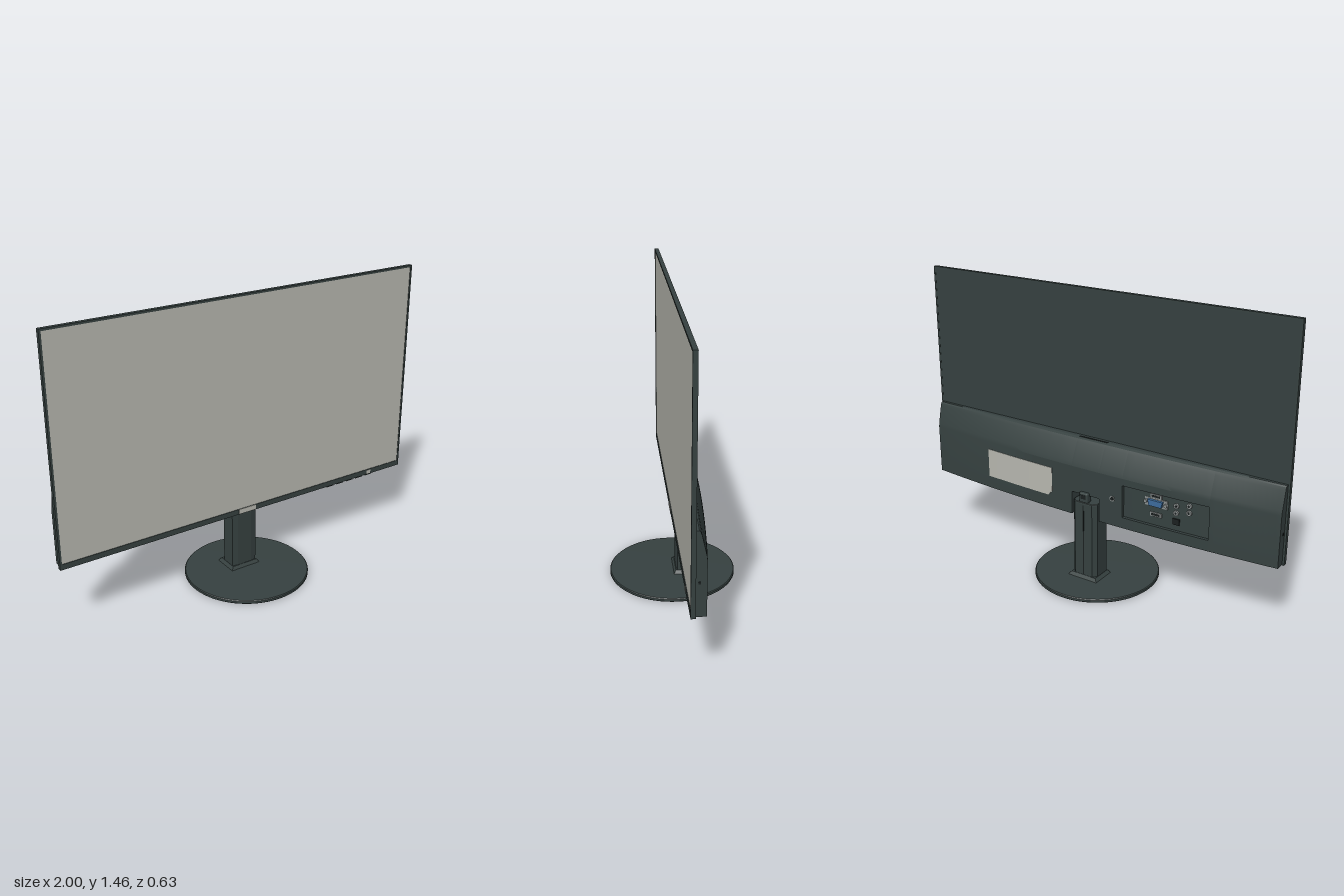
import * as THREE from 'three';
import { toCreasedNormals } from 'three/addons/utils/BufferGeometryUtils.js';
import { RoundedBoxGeometry } from 'three/addons/geometries/RoundedBoxGeometry.js';

const mat = (color) => new THREE.MeshStandardMaterial({ color });
const dark = mat(0x364140), black = mat(0x1b2020), pale = mat(0xb8b8b0), blue = mat(0x3d6c9c), metal = mat(0x8a8f8f);

// Rear bulge: depth behind the panel across x, tapered toward the top edge.
const bulge = (x) => 0.105 - 0.05 * x * x;
const TAPER = [[0.345, 1], [0.6, 1], [0.62, 0.94], [0.71, 0.5], [0.724, 0.4], [0.73, 0.26]];
function taper(y) {
  for (let i = 1; i < TAPER.length; i++) {
    const [ya, fa] = TAPER[i - 1], [yb, fb] = TAPER[i];
    if (y <= yb) return fa + (fb - fa) * (y - ya) / (yb - ya);
  }
  return TAPER[TAPER.length - 1][1];
}

// Closed block following the bulge between x0..x1 and low(x)..y1; inset lowers its back.
function bulgeBlock(x0, x1, low, y1, inset = 0, steps = 12) {
  const yLow = typeof low === 'number' ? () => low : low;
  const rings = [], pos = [];
  for (let i = 0; i <= steps; i++) {
    const x = x0 + (x1 - x0) * i / steps, y0 = yLow(x);
    const ys = [y0, ...TAPER.map((t) => t[0]).filter((y) => y > y0 + 1e-4 && y < y1 - 1e-4), y1];
    const back = ys.map((y) => [x, y, -(0.01 + taper(y) * (bulge(x) - inset - 0.01))]);
    rings.push([[x, y0, -0.008], ...back, [x, y1, -0.008]]);
  }
  const tri = (...p) => p.forEach((v) => pos.push(...v));
  const n = rings[0].length;
  for (let i = 0; i < steps; i++) {
    const a = rings[i], b = rings[i + 1];
    for (let j = 0; j < n; j++) {
      const k = (j + 1) % n;
      tri(a[j], a[k], b[k]);
      tri(a[j], b[k], b[j]);
    }
  }
  const first = rings[0], last = rings[steps];
  for (let j = 1; j < n - 1; j++) {
    tri(last[0], last[j], last[j + 1]);
    tri(first[0], first[j + 1], first[j]);
  }
  const g = new THREE.BufferGeometry();
  g.setAttribute('position', new THREE.Float32BufferAttribute(pos, 3));
  return toCreasedNormals(g, 0.25);
}

function rectPath(path, x0, y0, x1, y1) {
  path.moveTo(x0, y0);
  path.lineTo(x1, y0);
  path.lineTo(x1, y1);
  path.lineTo(x0, y1);
  path.closePath();
  return path;
}

export function createModel() {
  const model = new THREE.Group();
  const add = (name, geometry, material, x = 0, y = 0, z = 0, parent = model) => {
    const m = new THREE.Mesh(geometry, material);
    m.name = name;
    m.position.set(x, y, z);
    parent.add(m);
    return m;
  };
  const box = (name, w, h, d, material, x, y, z, parent) =>
    add(name, new THREE.BoxGeometry(w, h, d), material, x, y, z, parent);

  // Display panel: bezel around a slightly sunken screen
  const bezel = rectPath(new THREE.Shape(), -1, 0.342, 1, 1.455);
  bezel.holes.push(rectPath(new THREE.Path(), -0.99, 0.37, 0.99, 1.445));
  add('bezel', new THREE.ExtrudeGeometry(bezel, { depth: 0.021, bevelEnabled: false }), dark, 0, 0, -0.01);
  box('screen', 1.982, 1.077, 0.008, pale, 0, 0.9075, 0.004);
  box('panelBack', 1.982, 1.077, 0.008, dark, 0, 0.9075, -0.005);
  box('bezelPlate', 0.1, 0.026, 0.003, pale, 0, 0.357, 0.0115);
  box('powerLight', 0.026, 0.022, 0.003, pale, 0.785, 0.355, 0.0115);
  for (let i = 0; i < 5; i++) box('button', 0.045, 0.01, 0.012, dark, 0.53 + i * 0.065, 0.339, -0.002);

  // Rear housing, split to leave a neck notch and a connector bay
  const housing = new THREE.Group();
  housing.name = 'rearHousing';
  model.add(housing);
  const B = 0.345, T = 0.73;
  [
    [0.08, 0.99, B, T], [-0.08, 0.08, 0.465, T], [-0.21, -0.08, B, T], [-0.99, -0.66, B, T],
    [-0.66, -0.21, B, 0.4], [-0.66, -0.21, 0.565, T],
  ].forEach(([x0, x1, y0, y1]) => add('housingShell', bulgeBlock(x0, x1, y0, y1), dark, 0, 0, 0, housing));
  add('connectorBayFloor', bulgeBlock(-0.66, -0.21, 0.4, 0.565, 0.016), dark, 0, 0, 0, housing);
  box('topVent', 0.16, 0.004, 0.01, black, 0, 0.73, -0.03, housing);
  for (const s of [-1, 1]) box('lockSlot', 0.004, 0.012, 0.008, black, s * 0.99, 0.5, -0.025, housing);

  // Rating label with one cut corner
  add('ratingLabel', bulgeBlock(0.2, 0.62, (x) => 0.41 + Math.max(0, 0.225 - x), 0.56, -0.002, 34), pale, 0, 0, 0, housing);

  // Connectors standing on the bay floor
  const ports = new THREE.Group();
  ports.name = 'connectors';
  model.add(ports);
  const floorZ = (x) => -(bulge(x) - 0.016);
  const plug = (name, r, material, x, y, z, depth) => {
    const m = add(name, new THREE.CylinderGeometry(r, r, depth, 16), material, x, y, z, ports);
    m.rotation.x = Math.PI / 2;
  };
  const dShape = new THREE.Shape([[-0.04, 0.015], [0.04, 0.015], [0.033, -0.015], [-0.033, -0.015]]
    .map(([x, y]) => new THREE.Vector2(x, y)));
  const vx = -0.385, vz = floorZ(vx);
  box('videoPortPlate', 0.12, 0.042, 0.006, metal, vx, 0.515, vz, ports);
  add('videoPort', new THREE.ExtrudeGeometry(dShape, { depth: 0.014, bevelEnabled: false }), blue, vx, 0.515, vz - 0.016, ports);
  for (const s of [-1, 1]) plug('portScrew', 0.009, metal, vx + s * 0.054, 0.515, vz - 0.006, 0.014);
  for (const y of [0.455, 0.548]) {
    box('digitalPort', 0.06, 0.02, 0.01, metal, vx, y, vz - 0.001, ports);
    box('digitalPortOpening', 0.045, 0.01, 0.004, black, vx, y, vz - 0.005, ports);
  }
  [[-0.49, 0.525], [-0.49, 0.49], [-0.555, 0.54], [-0.555, 0.505]].forEach(([x, y]) => {
    plug('audioJack', 0.013, metal, x, y, floorZ(x) - 0.002, 0.014);
    plug('audioJackHole', 0.006, black, x, y, floorZ(x) - 0.008, 0.004);
  });
  box('powerSocket', 0.036, 0.03, 0.012, black, -0.49, 0.445, floorZ(-0.49), ports);
  plug('lockRing', 0.014, metal, -0.155, 0.485, -0.103, 0.006);
  plug('lockHole', 0.009, black, -0.155, 0.485, -0.105, 0.006);

  // Stand: neck with chamfered rear, rear seam, flared foot and round base
  const neckOutline = [[-0.07, 0.022], [-0.04, 0.016], [0.04, 0.016], [0.07, 0.022],
    [0.07, 0.1], [0.05, 0.122], [-0.05, 0.122], [-0.07, 0.1]].map(([x, y]) => new THREE.Vector2(x, y));
  const neck = new THREE.ExtrudeGeometry(new THREE.Shape(neckOutline), { depth: 0.392, bevelEnabled: true, bevelSize: 0.004, bevelThickness: 0.008, bevelOffset: -0.004, bevelSegments: 2 });
  neck.rotateX(-Math.PI / 2);
  add('neck', neck, dark, 0, 0.03, 0);
  box('neckSeam', 0.006, 0.38, 0.002, black, 0, 0.225, -0.122);
  add('neckLatch', new RoundedBoxGeometry(0.05, 0.05, 0.035, 2, 0.006), dark, 0, 0.455, -0.106);
  box('latchSlot', 0.03, 0.02, 0.004, black, 0, 0.46, -0.123);

  const foot = new THREE.CylinderGeometry(0.1, 0.12, 0.018, 4, 1);
  foot.rotateY(Math.PI / 4);
  foot.scale(1, 1, 0.78);
  add('neckFoot', foot.toNonIndexed(), dark, 0, 0.027, -0.069).geometry.computeVertexNormals();

  const profile = [[0, 0], [0.311, 0], [0.315, 0.004], [0.315, 0.015], [0.311, 0.019], [0, 0.02]]
    .map(([r, y]) => new THREE.Vector2(r, y));
  add('base', toCreasedNormals(new THREE.LatheGeometry(profile, 72), 0.5), dark);
  return model;
}
